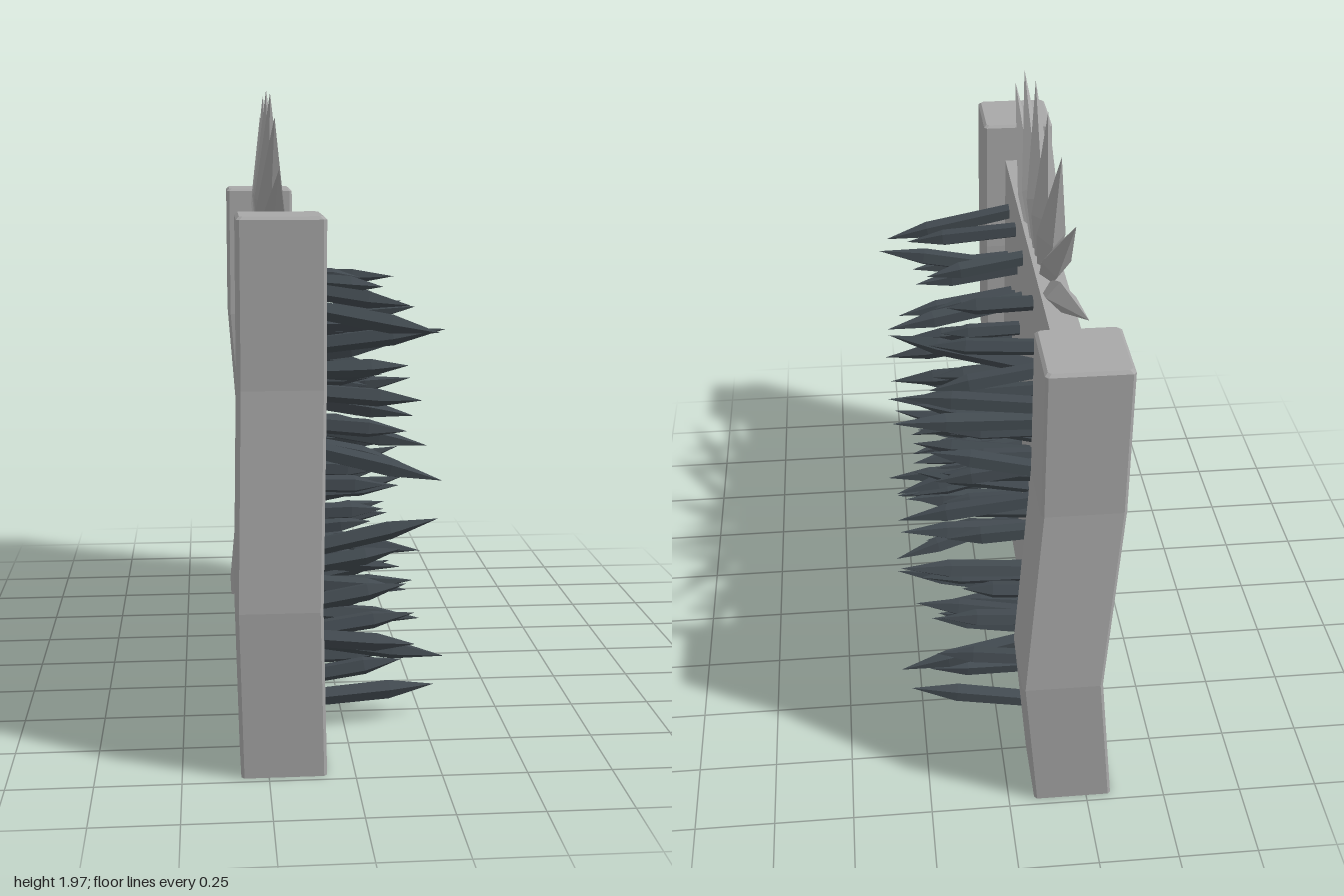
import * as THREE from 'three';

const stone = new THREE.MeshStandardMaterial({ color: 0xa8a8a8, side: THREE.DoubleSide });
stone.name = 'stone grey';
const iron = new THREE.MeshStandardMaterial({ color: 0x41494f });
iron.name = 'dark iron';

const WALL_X = -0.206, WALL_FRONT = -0.16, MID_Y = 0.7;

// Split faces so that every facet gets its own normal
function faceted(geometry) {
  const g = geometry.index ? geometry.toNonIndexed() : geometry;
  g.computeVertexNormals();
  return g;
}

function addMesh(parent, geometry, material, name) {
  const mesh = new THREE.Mesh(geometry, material);
  mesh.name = name;
  parent.add(mesh);
  return mesh;
}

// Pointed rod of unit length along +y, from [radius, height] pairs
function spikeGeometry(profile, sides) {
  const points = profile.map(([r, y]) => new THREE.Vector2(r, y));
  return faceted(new THREE.LatheGeometry(points, sides));
}

// Bent square post with chamfered edges, open underneath; rings are [y, xShift, zShift, inset]
function postGeometry(rings) {
  const half = 0.124, c = 0.009, pos = [], index = [];
  for (const [y, dx, dz, inset] of rings) {
    const h = half - inset, k = h - c;
    const loop = [[h, k], [k, h], [-k, h], [-h, k], [-h, -k], [-k, -h], [k, -h], [h, -k]];
    for (const [x, z] of loop) pos.push(x + dx, y, z + dz);
  }
  for (let r = 0; r < rings.length - 1; r++) {
    for (let i = 0; i < 8; i++) {
      const a = r * 8 + i, b = r * 8 + (i + 1) % 8;
      index.push(a, b, a + 8, b, b + 8, a + 8);
    }
  }
  // Loop runs from +x through +z, so upward faces take the reverse order
  for (let i = 0; i < index.length; i += 3) [index[i + 1], index[i + 2]] = [index[i + 2], index[i + 1]];
  const top = (rings.length - 1) * 8;
  for (let i = 1; i < 7; i++) index.push(top, top + i + 1, top + i);
  const g = new THREE.BufferGeometry();
  g.setAttribute('position', new THREE.Float32BufferAttribute(pos, 3));
  g.setIndex(index);
  return faceted(g);
}

export function createModel() {
  const model = new THREE.Group();
  model.name = 'spikedWall';

  // Wall slab, open underneath
  const slab = new THREE.BoxGeometry(0.094, 1.475, 1.5);
  const faces = Array.from(slab.index.array);
  faces.splice(18, 6);
  slab.setIndex(faces);
  slab.clearGroups();
  addMesh(model, slab, stone, 'wall').position.set(WALL_X, 0.7375, 0);

  // Crooked posts at both ends
  for (const [side, lowX, name] of [[1, -0.012, 'frontPost'], [-1, 0.048, 'backPost']]) {
    const post = postGeometry([
      [0, 0, 0, 0],
      [0.5, lowX, 0.024 * side, 0],
      [1.13, 0, -0.01 * side, 0],
      [1.601, 0, 0, 0],
      [1.61, 0, 0, 0.009],
    ]);
    addMesh(model, post, stone, name).position.set(WALL_X, 0, 0.853 * side);
  }

  // Fan of blades along the top, given by tip offset from the fan's root
  const crown = new THREE.Group();
  crown.name = 'crown';
  crown.position.set(WALL_X, 1.37, -0.03);
  model.add(crown);
  const blade = spikeGeometry([[0.55, 0.05], [1, 0.42], [0, 1]], 4);
  const tips = [[0, 0.598], [0.306, 0.582], [0.609, 0.507], [0.878, 0.363]];
  for (const [z, y] of tips) {
    for (const s of z ? [1, -1] : [1]) {
      const mesh = addMesh(crown, blade, stone, 'crownBlade');
      mesh.scale.set(0.046, Math.hypot(z, y), 0.055 - 0.01 * z);
      mesh.rotation.x = Math.atan2(z * s, y);
    }
  }

  // One quarter of the wall spikes: base z, base y, tip z, tip y, reach
  const quarter = [
    [0.607, 0.63, 0.607, 0.535, 0.45], [0.39, 0.66, 0.45, 0.6, 0.38],
    [0.18, 0.66, 0.135, 0.625, 0.33], [0.455, 0.47, 0.515, 0.535, 0.48],
    [0.34, 0.54, 0.28, 0.52, 0.36], [0.18, 0.5, 0.088, 0.455, 0.47],
    [0.62, 0.43, 0.56, 0.43, 0.36], [0.375, 0.4, 0.36, 0.37, 0.3],
    [0.495, 0.35, 0.45, 0.3, 0.42], [0.238, 0.348, 0.24, 0.34, 0.28],
    [0.6, 0.27, 0.605, 0.235, 0.35], [0.21, 0.195, 0.29, 0.12, 0.46],
    [0.465, 0.175, 0.55, 0.065, 0.47], [0.665, 0.095, 0.65, 0.08, 0.28],
    [0.29, 0.06, 0.28, 0.04, 0.3], [0.082, 0.11, 0.085, 0.02, 0.4],
    [0.11, 0.27, 0.11, 0.24, 0.32], [0.33, 0.3, 0.39, 0.24, 0.4],
  ];
  const shifts = [[0, 0], [-0.016, -0.018], [0, 0], [0.02, 0.012]];
  const rod = spikeGeometry([[0.92, 0], [1, 0.68], [0, 1]], 5);
  const up = new THREE.Vector3(0, 1, 0);
  const spikes = new THREE.Group();
  spikes.name = 'wallSpikes';
  model.add(spikes);

  // Turn the quarter about the middle of the wall
  shifts.forEach(([dz, dy], turn) => {
    const place = (x, z, y) => {
      for (let i = 0; i < turn; i++) [z, y] = [-y, z];
      return new THREE.Vector3(x, MID_Y + y + dy, z + dz);
    };
    quarter.forEach(([bz, by, tz, ty, reach], i) => {
      const base = place(WALL_FRONT - 0.02, bz, by);
      const dir = place(WALL_FRONT + reach, tz, ty).sub(base);
      const mesh = addMesh(spikes, rod, iron, 'wallSpike');
      const thick = 0.025 + 0.012 * reach;
      mesh.scale.set(thick, dir.length(), thick);
      mesh.position.copy(base);
      mesh.quaternion.setFromUnitVectors(up, dir.normalize());
      mesh.rotateY(i * 1.3);
    });
  });

  return model;
}
